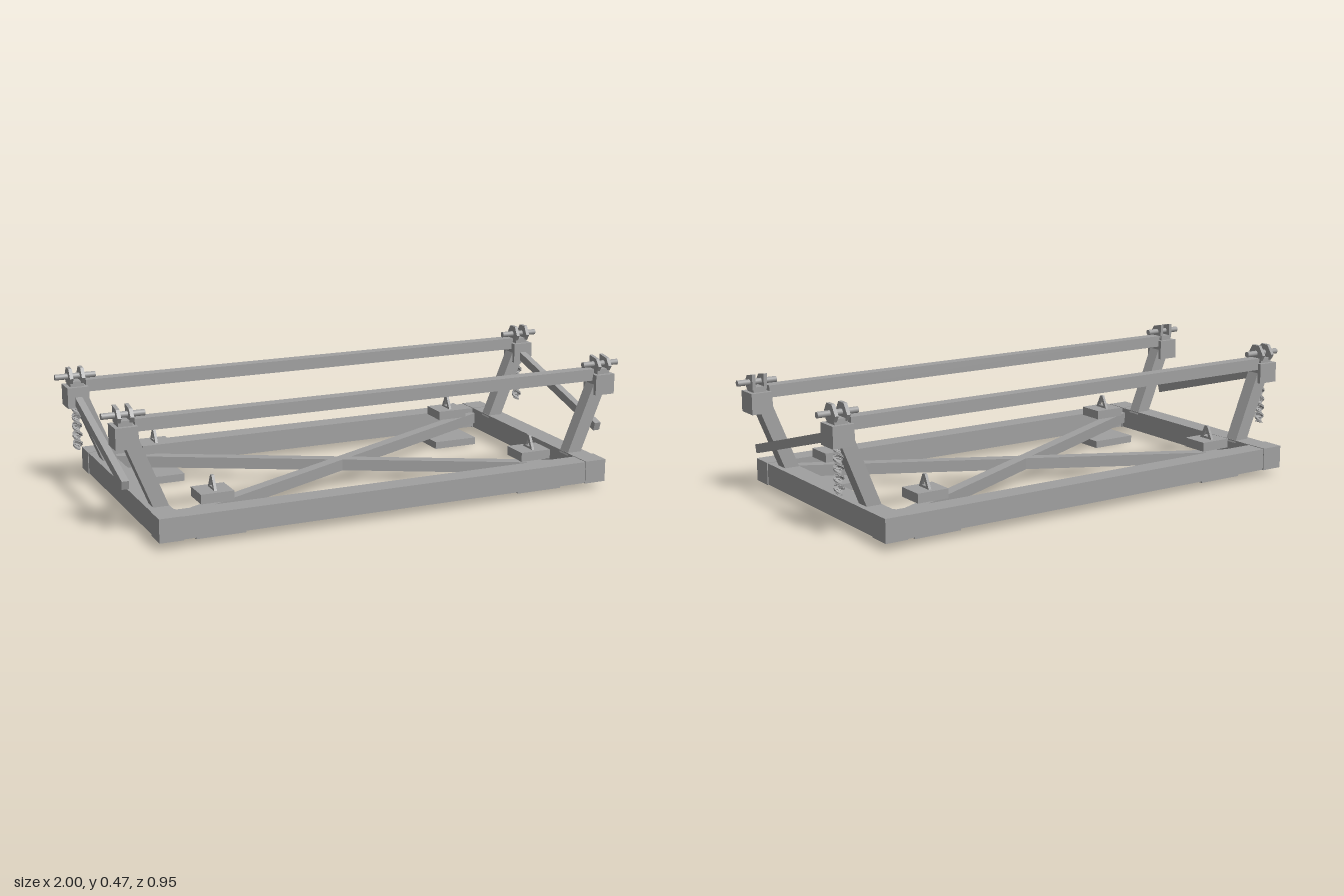
import * as THREE from 'three';

export function createModel() {
  const model = new THREE.Group();
  const steel = new THREE.MeshStandardMaterial({ color: 0xa0a0a0 });
  steel.name = 'greySteel';

  const add = (name, geo, x = 0, y = 0, z = 0) => {
    const mesh = new THREE.Mesh(geo, steel);
    mesh.name = name;
    mesh.position.set(x, y, z);
    model.add(mesh);
    return mesh;
  };
  const box = (name, w, h, d, x, y, z) => add(name, new THREE.BoxGeometry(w, h, d), x, y, z);
  // Square bar between two points: w is the level width, h the other thickness
  const bar = (name, a, b, w, h) => {
    const p = new THREE.Vector3(...a), q = new THREE.Vector3(...b);
    const mid = p.clone().lerp(q, 0.5);
    const mesh = box(name, w, h, p.distanceTo(q), mid.x, mid.y, mid.z);
    mesh.lookAt(q);
    return mesh;
  };
  // Flat plate cut from a (z, y) outline, thickness t along x
  const plate = (name, pts, t, x, y, z, hole) => {
    const shape = new THREE.Shape(pts.map(p => new THREE.Vector2(...p)));
    if (hole) shape.holes.push(new THREE.Path(hole.map(p => new THREE.Vector2(...p))));
    const geo = new THREE.ExtrudeGeometry(shape, { depth: t, bevelEnabled: false });
    geo.translate(0, 0, -t / 2).rotateY(-Math.PI / 2);
    return add(name, geo, x, y, z);
  };

  // Base frame
  for (const s of [-1, 1]) {
    box('longBeam', 1.56, 0.08, 0.08, 0, 0.069, s * 0.434);
    box('shortBeam', 0.078, 0.08, 0.79, s * 0.82, 0.069, 0);
    for (const t of [-1, 1]) box('cornerBlock', 0.084, 0.084, 0.086, s * 0.82, 0.069, t * 0.434);
  }

  // Crossed floor braces
  for (const s of [-1, 1])
    bar('floorBrace', [-0.785, 0.07, -s * 0.403], [0.785, 0.07, s * 0.403], 0.042, 0.042);

  // Foot pads, clamp blocks and pierced lugs
  for (const sx of [-1, 1]) for (const sz of [-1, 1]) {
    const x = sx * 0.622, z = sz * 0.327;
    box('footPad', 0.18, 0.028, 0.165, x, 0.014, z);
    box('clampBlock', 0.12, 0.034, 0.105, x, 0.127, z);
    plate('lug', [[-0.033, 0], [0.033, 0], [0.007, 0.05], [-0.007, 0.05]], 0.01,
      x, 0.143, z, [[-0.015, 0.009], [0, 0.034], [0.015, 0.009]]);
  }

  // Twisted hanging screw
  const twist = () => {
    const geo = new THREE.BoxGeometry(0.034, 0.17, 0.012, 1, 36, 1).toNonIndexed();
    const p = geo.attributes.position;
    for (let i = 0; i < p.count; i++) {
      const a = (p.getY(i) / 0.17) * Math.PI * 5, x = p.getX(i), z = p.getZ(i);
      p.setX(i, x * Math.cos(a) - z * Math.sin(a));
      p.setZ(i, x * Math.sin(a) + z * Math.cos(a));
    }
    geo.computeVertexNormals();
    return geo;
  };

  // Clamp jaw outlines, one for the front and one for the back
  const frontJaw = [[-0.025, -0.026], [0.024, -0.026], [0.038, -0.004], [0.019, 0.022], [-0.026, 0.03], [-0.026, 0]];
  const backJaw = [[-0.026, -0.026], [0.024, -0.026], [0.04, -0.002], [0.02, 0.032], [-0.016, 0.032], [-0.04, -0.004]];

  for (const z of [0.317, -0.287]) {
    // Long upper rail
    box('upperRail', 1.78, 0.044, 0.046, 0, 0.398, z - 0.005);
    for (const s of [-1, 1]) {
      // Leaning post and its cap
      const post = bar('post', [s * 0.803, 0.09, z], [s * 0.912, 0.36, z], 0.054, 0.052);
      post.name = 'post';
      box('postCap', 0.08, 0.076, 0.084, s * 0.925, 0.362, z);
      // Rail clamp: neck, two jaws and cross pin
      box('clampNeck', 0.05, 0.022, 0.052, s * 0.925, 0.408, z);
      for (const dx of [-0.022, 0.022])
        plate('clampJaw', z > 0 ? frontJaw : backJaw, 0.013, s * 0.925 + dx, 0.435, z);
      const pin = add('crossPin', new THREE.CylinderGeometry(0.011, 0.011, 0.15, 12), s * 0.925, 0.435, z);
      pin.rotation.z = Math.PI / 2;
      if (z < 0) add('hangingScrew', twist(), s * 0.925, 0.245, z);
    }
  }

  // Sloping end braces
  for (const s of [-1, 1])
    bar('endBrace', [s * 0.925, 0.19, 0.317], [s * 0.925, 0.352, -0.26], 0.026, 0.032);

  return model;
}
